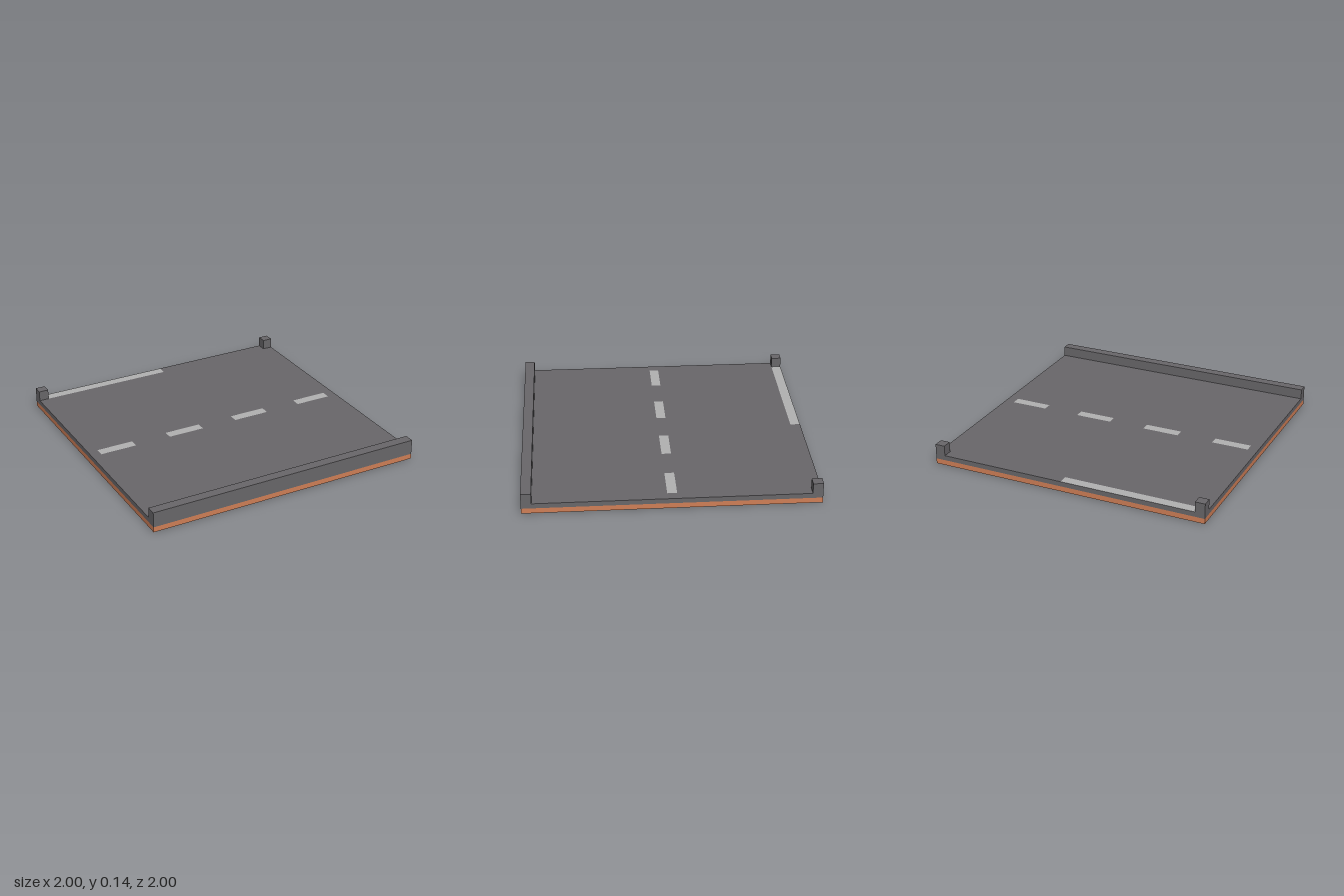
import * as THREE from 'three';

const E = 0.93;                         // inner edge of curb and posts
const BASE = 0.037, DECK = 0.072, TOP = 0.145;
const HALF = 0.0333;                    // half width of a lane dash

const mat = (color) => new THREE.MeshStandardMaterial({ color, side: THREE.DoubleSide, flatShading: true });

// Hollow box keeping only some faces (0..5 = +x, -x, +y, -y, +z, -z)
function shell(name, [x0, x1], [y0, y1], [z0, z1], faces, material) {
  const g = new THREE.BoxGeometry(x1 - x0, y1 - y0, z1 - z0);
  const all = Array.from(g.index.array);
  g.setIndex(faces.flatMap((f) => all.slice(f * 6, f * 6 + 6)));
  g.clearGroups();
  g.translate((x0 + x1) / 2, (y0 + y1) / 2, (z0 + z1) / 2);
  const m = new THREE.Mesh(g, material);
  m.name = name;
  return m;
}

// Flat sheet at deck height; outline points are [x, z]
function sheet(name, outline, holes, material) {
  const toPoints = (list) => list.map(([x, z]) => new THREE.Vector2(x, -z));
  const s = new THREE.Shape(toPoints(outline));
  s.holes = holes.map((h) => new THREE.Path(toPoints(h)));
  const m = new THREE.Mesh(new THREE.ShapeGeometry(s).rotateX(-Math.PI / 2), material);
  m.position.y = DECK;
  m.name = name;
  return m;
}

const rect = (x0, x1, z0, z1) => [[x0, z1], [x1, z1], [x1, z0], [x0, z0]];

export function createModel() {
  const group = new THREE.Group();
  const asphalt = mat(0x69676a), paint = mat(0xb2b2b2), trim = mat(0xd07f57);
  const full = [-1, 1];
  const walls = [0, 1, 4, 5], openBelow = [0, 1, 2, 4, 5];

  // Thin skirt around the tile, open underneath
  group.add(shell('baseTrim', full, [0, BASE], full, walls, trim));
  group.add(shell('roadSides', full, [BASE, DECK], full, walls, asphalt));

  // Painted dashes set flush into the deck
  const dashes = [-0.797, -0.266, 0.266, 0.797].map((x) => rect(x - 0.133, x + 0.133, -HALF, HALF));
  dashes.forEach((d, i) => group.add(sheet('laneDash' + (i + 1), d, [], paint)));

  // Painted line along the back edge
  const lineEnd = 0.033;
  group.add(sheet('edgeLine', rect(-E, lineEnd, -1, -E), [], paint));

  // Road deck, cut out around posts, line and dashes
  const outline = [[-1, E], [1, E], [1, -E], [E, -E], [E, -1], [lineEnd, -1], [lineEnd, -E], [-1, -E]];
  group.add(sheet('roadDeck', outline, dashes, asphalt));

  // Full-length curb in front, a post at each back corner
  group.add(shell('frontCurb', full, [DECK, TOP], [E, 1], openBelow, asphalt));
  group.add(shell('leftPost', [E, 1], [DECK, TOP], [-1, -E], openBelow, asphalt));
  group.add(shell('rightPost', [-1, -E], [DECK, TOP], [-1, -E], openBelow, asphalt));

  return group;
}
